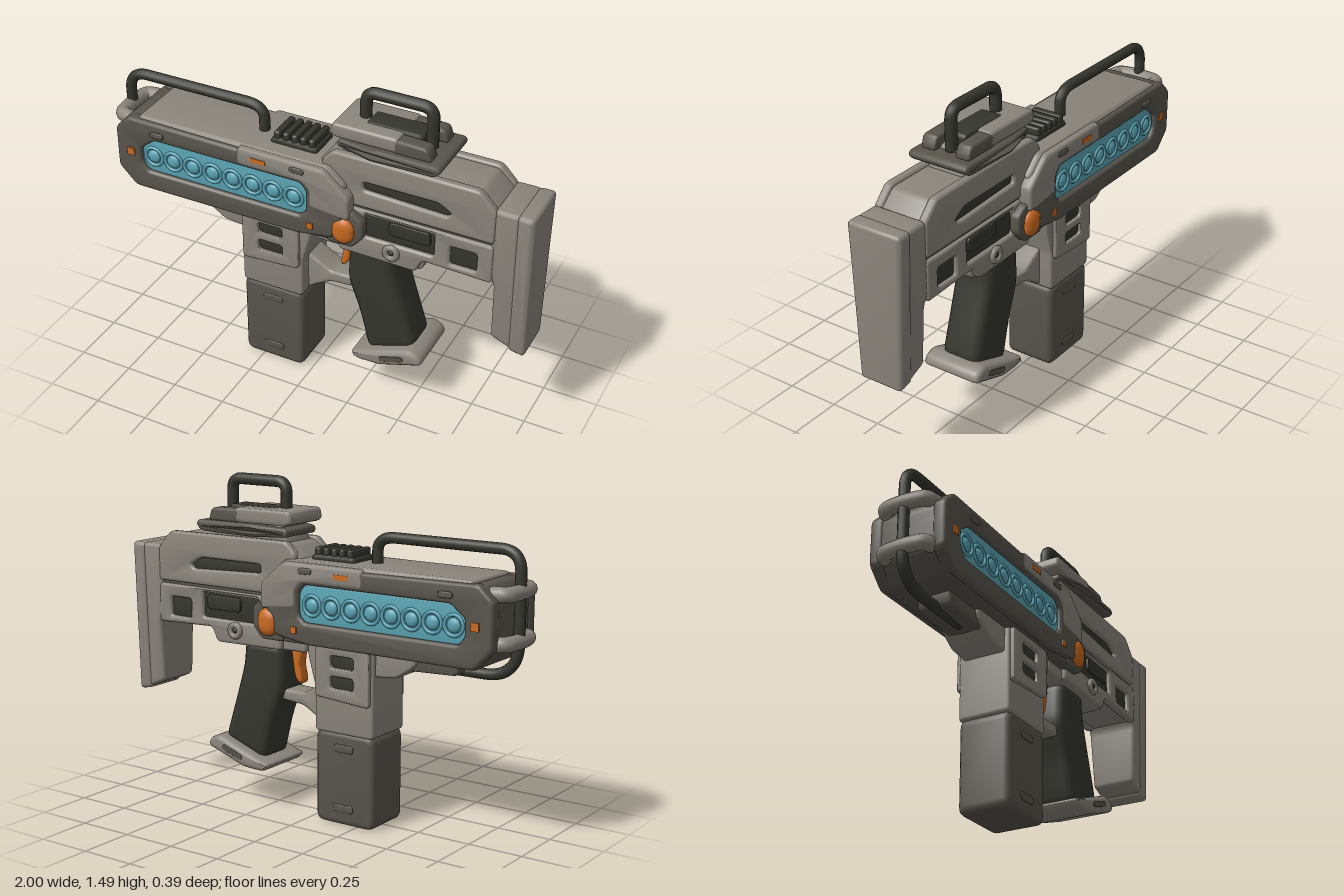
import * as THREE from 'three';
import { toCreasedNormals } from 'three/addons/utils/BufferGeometryUtils.js';

const mat = (name, color) => {
  const m = new THREE.MeshStandardMaterial({ color });
  m.name = name;
  return m;
};

// Closed outline with rounded corners
function outline(pts, r, Type = THREE.Shape) {
  const s = new Type();
  const v = pts.map(p => new THREE.Vector2(p[0], p[1]));
  v.forEach((p, i) => {
    const a = v[(i + v.length - 1) % v.length], b = v[(i + 1) % v.length];
    const toward = q => p.clone().lerp(q, Math.min(0.45, r / p.distanceTo(q)));
    const start = toward(a), end = toward(b);
    if (i === 0) s.moveTo(start.x, start.y); else s.lineTo(start.x, start.y);
    s.quadraticCurveTo(p.x, p.y, end.x, end.y);
  });
  s.closePath();
  return s;
}
const rect = (x0, y0, x1, y1) => [[x0, y0], [x1, y0], [x1, y1], [x0, y1]];

export function createModel() {
  const model = new THREE.Group();
  const light = mat('light grey', 0x8a857c);
  const dark = mat('dark grey', 0x58544c);
  const black = mat('olive black', 0x35362e);
  const cyan = mat('cyan', 0x5ba4b4);
  const orange = mat('orange', 0xc96a1f);

  function add(name, geo, material, x = 0, y = 0, z = 0) {
    const m = new THREE.Mesh(geo, material);
    m.name = name;
    m.position.set(x, y, z);
    model.add(m);
    return m;
  }
  // Side profile extruded over z0 +- half, with a soft bevel
  function slab(name, pts, half, material, { z = 0, r = 0.02, b = 0.012, holes = [], warp } = {}) {
    const shape = outline(pts, r);
    holes.forEach(h => shape.holes.push(outline(h, 0.015, THREE.Path)));
    let g = new THREE.ExtrudeGeometry(shape, {
      depth: 2 * (half - b), bevelThickness: b, bevelSize: b, bevelOffset: -b, bevelSegments: 3, curveSegments: 5,
    });
    g.translate(0, 0, b - half);
    if (warp) {
      const p = g.attributes.position;
      for (let i = 0; i < p.count; i++) p.setZ(i, p.getZ(i) * warp(p.getX(i), p.getY(i)));
    }
    g = toCreasedNormals(g, 0.6);
    return add(name, g, material, 0, 0, z);
  }
  const sides = fn => [1, -1].forEach(fn);
  function tube(name, pts, radius, material, r = 0.07) {
    const path = new THREE.CurvePath();
    const v = pts.map(p => new THREE.Vector3(...p));
    let last = v[0];
    for (let i = 1; i < v.length - 1; i++) {
      const a = v[i].clone().lerp(v[i - 1], Math.min(0.45, r / v[i].distanceTo(v[i - 1])));
      const b = v[i].clone().lerp(v[i + 1], Math.min(0.45, r / v[i].distanceTo(v[i + 1])));
      path.add(new THREE.LineCurve3(last, a));
      path.add(new THREE.QuadraticBezierCurve3(a, v[i], b));
      last = b;
    }
    path.add(new THREE.LineCurve3(last, v[v.length - 1]));
    add(name, new THREE.TubeGeometry(path, 64, radius, 12), material);
    [v[0], v[v.length - 1]].forEach(p =>
      add(name + 'End', new THREE.SphereGeometry(radius, 12, 8), material, p.x, p.y, p.z));
  }

  // Front housing
  slab('housingCore', [[-0.93, 0.89], [-0.85, 0.79], [0.15, 0.79], [0.2, 0.9], [0.2, 1.0], [0.1, 1.12], [-0.88, 1.14], [-0.93, 1.07]], 0.155, dark);
  slab('housingTop', [[-0.83, 1.0], [0.18, 1.0], [0.18, 1.08], [0.1, 1.152], [-0.83, 1.152]], 0.16, light, { b: 0.02 });
  const windowHole = [[-0.81, 0.93], [-0.78, 0.89], [-0.02, 0.89], [0.01, 0.92], [0.01, 1.02], [-0.02, 1.055], [-0.74, 1.055], [-0.81, 1.0]];
  sides(s => {
    slab('housingSidePanel', [[-0.935, 0.88], [-0.85, 0.795], [-0.04, 0.795], [0.13, 0.82], [0.18, 0.88], [0.18, 0.96], [0.08, 1.13], [-0.87, 1.143], [-0.935, 1.08]],
      0.03, dark, { z: s * 0.15, holes: [windowHole], b: 0.014 });
    slab('housingSideUpper', [[-0.32, 1.147], [-0.32, 1.064], [-0.01, 1.064], [0.025, 1.03], [0.025, 0.95], [0.21, 0.93], [0.21, 1.04], [0.09, 1.147]],
      0.033, light, { z: s * 0.15, b: 0.014 });
    // Lit window with a row of round cells
    slab('cellWindow', windowHole, 0.015, cyan, { z: s * 0.148, b: 0.004 });
    for (let i = 0; i < 8; i++) {
      const x = -0.752 + i * 0.0995;
      add('cellRing', new THREE.TorusGeometry(0.043, 0.008, 8, 24), cyan, x, 0.967, s * 0.164);
      const dome = add('cellDome', new THREE.SphereGeometry(0.032, 16, 10), cyan, x, 0.967, s * 0.16);
      dome.scale.z = 0.5;
    }
    // Orange markers
    [[-0.86, 0.975, 0.036, 0.036], [0.03, 0.855, 0.028, 0.03], [-0.215, 1.106, 0.07, 0.022]].forEach(([x, y, w, h]) =>
      add('orangeMarker', new THREE.BoxGeometry(w, h, 0.008), orange, x, y, s * 0.182));
    [[-0.72, 1.09], [-0.03, 1.115]].forEach(([x, y]) => slab('sideClip',
      rect(x - 0.035, y - 0.014, x + 0.035, y + 0.014), 0.008, dark, { z: s * 0.18, b: 0.004 }));
  });

  // Guard tubes and front cross bars
  tube('upperGuardTube', [[-0.96, 1.06, 0], [-0.96, 1.265, 0], [-0.28, 1.265, 0], [-0.28, 1.13, 0]], 0.024, black, 0.09);
  tube('lowerGuardTube', [[-0.96, 1.08, 0], [-0.96, 0.82, 0], [-0.88, 0.745, 0], [-0.54, 0.745, 0]], 0.024, black, 0.08);
  [1.1, 0.9].forEach(y => tube('frontCrossBar',
    [[-0.9, y, 0.11], [-0.955, y, 0.1], [-0.965, y, 0], [-0.955, y, -0.1], [-0.9, y, -0.11]], 0.033, light, 0.04));

  // Underside rail and fore block
  slab('undersideRail', [[-0.74, 0.81], [-0.72, 0.735], [-0.36, 0.72], [-0.36, 0.81]], 0.08, dark);
  slab('foreBlock', [[-0.55, 0.8], [-0.53, 0.75], [-0.44, 0.69], [-0.32, 0.68], [-0.32, 0.8]], 0.1, light);

  // Magazine well and magazine
  slab('magazineWell', [[-0.34, 0.41], [-0.04, 0.41], [-0.04, 0.6], [0.0, 0.74], [0.0, 0.82], [-0.34, 0.82]], 0.122, light);
  const slots = [0.73, 0.64].map(y => rect(-0.25, y - 0.027, -0.13, y + 0.027));
  sides(s => {
    slab('wellSidePlate', [[-0.33, 0.55], [-0.05, 0.57], [-0.05, 0.8], [-0.33, 0.8]], 0.012, light, { z: s * 0.128, b: 0.007, holes: slots });
    slots.forEach(h => slab('wellSlot', h, 0.004, black, { z: s * 0.121, b: 0.001 }));
    [0.06, 0.33].forEach(y => slab('magazineRib', rect(-0.24, y, -0.14, y + 0.035), 0.006, dark, { z: s * 0.118, b: 0.004 }));
  });
  slab('magazine', rect(-0.34, 0, -0.04, 0.42), 0.12, dark, { r: 0.04, b: 0.025 });

  // Trigger and guard
  slab('triggerGuard', [[-0.06, 0.62], [0.0, 0.585], [0.07, 0.545], [0.2, 0.55], [0.2, 0.5], [0.07, 0.49], [0.0, 0.45], [-0.06, 0.41]], 0.06, light);
  slab('trigger', [[0.1, 0.76], [0.165, 0.76], [0.15, 0.66], [0.14, 0.6], [0.11, 0.57], [0.1, 0.59], [0.115, 0.66]], 0.03, orange);

  // Grip with foot
  slab('grip', [[0.17, 0.76], [0.38, 0.76], [0.385, 0.65], [0.43, 0.5], [0.5, 0.28], [0.27, 0.2], [0.22, 0.4], [0.16, 0.56]], 0.095, black, { r: 0.05, b: 0.04 });
  slab('gripFoot', [[0.205, 0.205], [0.24, 0.17], [0.35, 0.175], [0.555, 0.245], [0.54, 0.285], [0.49, 0.305], [0.27, 0.225]], 0.145, light, { b: 0.022 });
  sides(s => {
    const p = slab('gripFootSlot', rect(-0.06, -0.013, 0.06, 0.013), 0.004, dark, { z: s * 0.145, b: 0.002 });
    p.position.set(0.41, 0.237, s * 0.145);
    p.rotation.z = 0.33;
  });

  // Rear receiver
  slab('receiverCore', [[0.02, 0.74], [0.52, 0.735], [0.54, 0.805], [0.87, 0.8], [0.87, 1.1], [0.76, 1.205], [0.11, 1.21], [0.03, 1.14]], 0.108, light);
  const slot = [[0.25, 1.07], [0.63, 1.055], [0.65, 1.075], [0.59, 1.11], [0.25, 1.11]];
  const bay = rect(0.26, 0.84, 0.58, 0.955), notch = rect(0.65, 0.825, 0.77, 0.915);
  sides(s => {
    slab('receiverUpperPlate', [[0.06, 0.985], [0.84, 0.985], [0.84, 1.14], [0.765, 1.218], [0.11, 1.222], [0.06, 1.17]], 0.02, light, { z: s * 0.11, holes: [slot] });
    slab('receiverLowerPlate', [[0.14, 0.74], [0.5, 0.735], [0.53, 0.8], [0.84, 0.79], [0.84, 0.972], [0.14, 0.972]], 0.02, light, { z: s * 0.11, holes: [bay, notch] });
    [slot, bay, notch].forEach(h => slab('recessFace', h, 0.004, black, { z: s * 0.108, b: 0.001, r: 0.01 }));
    slab('bayCover', rect(0.37, 0.88, 0.56, 0.945), 0.008, black, { z: s * 0.116, b: 0.004 });
    slab('seam', rect(0.2, 0.965, 0.84, 0.99), 0.004, dark, { z: s * 0.109, b: 0.001, r: 0.005 });
    // Shoulder boss that steps the wide housing down to the receiver
    slab('shoulderBoss', [[0.1, 0.79], [0.22, 0.79], [0.27, 0.85], [0.27, 0.93], [0.21, 0.97], [0.1, 0.95]], 0.025, dark, { z: s * 0.14 });
    const button = add('sideButton', new THREE.CapsuleGeometry(0.052, 0.022, 8, 20), orange, 0.18, 0.87, s * 0.165);
    button.scale.z = 0.55;
    // Pivot pin
    add('pivotRing', new THREE.TorusGeometry(0.026, 0.014, 10, 24), light, 0.39, 0.8, s * 0.133);
    add('pivotHole', new THREE.SphereGeometry(0.014, 12, 8), black, 0.39, 0.8, s * 0.13);
  });

  // Butt stock, narrowing downward
  const taper = (x, y) => 0.8 + 0.2 * Math.min(1, Math.max(0, (y - 0.45) / 0.45));
  slab('buttFront', [[0.83, 1.15], [0.94, 1.15], [0.94, 0.46], [0.845, 0.5], [0.845, 0.78], [0.82, 0.82]], 0.127, light, { b: 0.018, warp: taper });
  slab('buttPad', [[0.925, 1.15], [1.0, 1.15], [1.0, 0.44], [0.925, 0.455]], 0.131, light, { b: 0.02, warp: taper });

  // Ribbed top pad
  slab('topPadBase', rect(-0.21, 1.13, 0.01, 1.175), 0.08, black);
  for (let i = 0; i < 5; i++) {
    const x = -0.182 + i * 0.041;
    slab('topPadRib', rect(x - 0.015, 1.15, x + 0.015, 1.205), 0.075, black, { r: 0.012, b: 0.01 });
  }

  // Sight mount and handle
  slab('sightNeck', [[0.13, 1.2], [0.55, 1.2], [0.5, 1.3], [0.18, 1.3]], 0.09, light);
  slab('sightLowerPlate', [[0.12, 1.235], [0.3, 1.23], [0.57, 1.235], [0.6, 1.26], [0.59, 1.285], [0.3, 1.285], [0.12, 1.27]], 0.146, dark, {
    warp: x => x < 0.2 ? 0.75 : Math.min(1, 0.75 + (x - 0.2) * 3),
  });
  slab('sightFrontPlate', [[0.09, 1.3], [0.12, 1.285], [0.4, 1.285], [0.4, 1.35], [0.1, 1.35]], 0.12, light);
  sides(s => slab('sightRail', [[0.37, 1.28], [0.55, 1.28], [0.53, 1.34], [0.37, 1.345]], 0.035, dark, { z: s * 0.085 }));
  slab('sightBed', rect(0.22, 1.28, 0.48, 1.354), 0.055, black);
  tube('sightHandle', [[0.2, 1.31, 0], [0.2, 1.463, 0], [0.5, 1.463, 0], [0.5, 1.29, 0]], 0.026, black, 0.05);

  return model;
}
